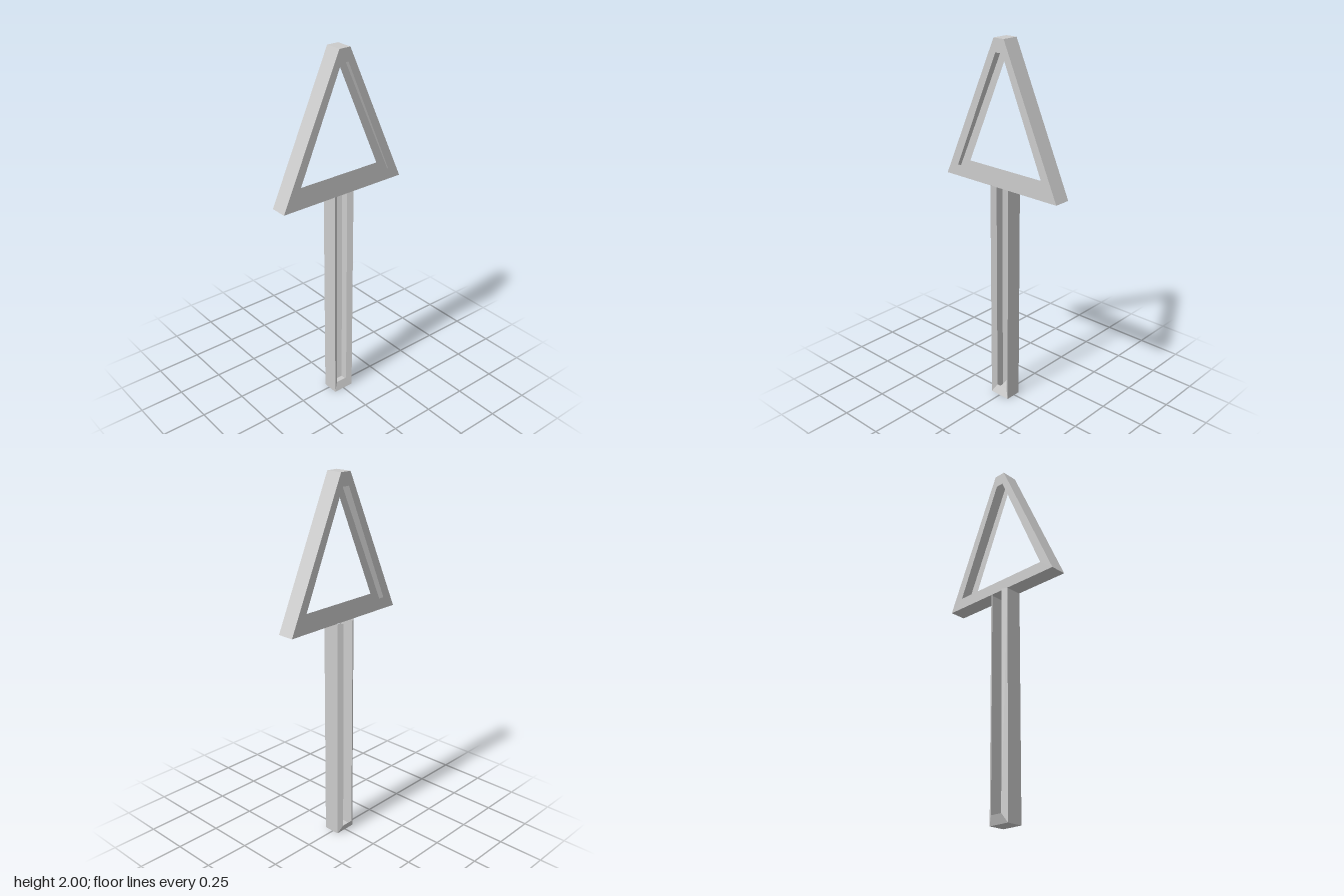
import * as THREE from 'three';

const material = new THREE.MeshStandardMaterial({
  color: 0xcccccc, flatShading: true, side: THREE.DoubleSide,
});

// Sheet through outlines ordered front to back; each layer is { outline, z }.
function sheet(name, layers, closed) {
  const positions = [];
  for (let l = 0; l < layers.length - 1; l++) {
    const front = layers[l], back = layers[l + 1];
    const n = front.outline.length;
    for (let i = 0; i < (closed ? n : n - 1); i++) {
      const j = (i + 1) % n;
      const a = [...front.outline[i], front.z], b = [...front.outline[j], front.z];
      const c = [...back.outline[j], back.z], d = [...back.outline[i], back.z];
      positions.push(...a, ...d, ...c, ...a, ...c, ...b);
    }
  }
  const geometry = new THREE.BufferGeometry();
  geometry.setAttribute('position', new THREE.Float32BufferAttribute(positions, 3));
  geometry.computeVertexNormals();
  const mesh = new THREE.Mesh(geometry, material);
  mesh.name = name;
  return mesh;
}

// Symmetric trapezoid, counter-clockwise from the front
const trapezoid = (bottomHalf, bottom, topHalf, top) => [
  [-bottomHalf, bottom], [bottomHalf, bottom], [topHalf, top], [-topHalf, top],
];

// U-shaped outline, open at the top
const channel = (half, bottom, top) => [
  [-half, top], [-half, bottom], [half, bottom], [half, top],
];

export function createModel() {
  const group = new THREE.Group();
  group.name = 'triangularSpade';
  const zFront = 0.055, zBack = -0.037;

  // Triangular head: flat front and back rims joined by the outer wall
  const headOuter = trapezoid(0.377, 1.245, 0.033, 2);
  const headInner = trapezoid(0.295, 1.307, 0.022, 1.93);
  group.add(sheet('triangleFrame', [
    { outline: headInner, z: zFront },
    { outline: headOuter, z: zFront },
    { outline: headOuter, z: zBack },
    { outline: headInner, z: zBack },
  ], true));

  // Hollow post: front lip sinks inward, rear lip slopes outward
  const postOuter = channel(0.061, 0, 1.243);
  const postInner = channel(0.034, 0.046, 1.243);
  group.add(sheet('post', [
    { outline: postInner, z: zFront - 0.018 },
    { outline: postOuter, z: zFront },
    { outline: postOuter, z: zBack },
    { outline: postInner, z: zBack - 0.018 },
  ], false));

  return group;
}
